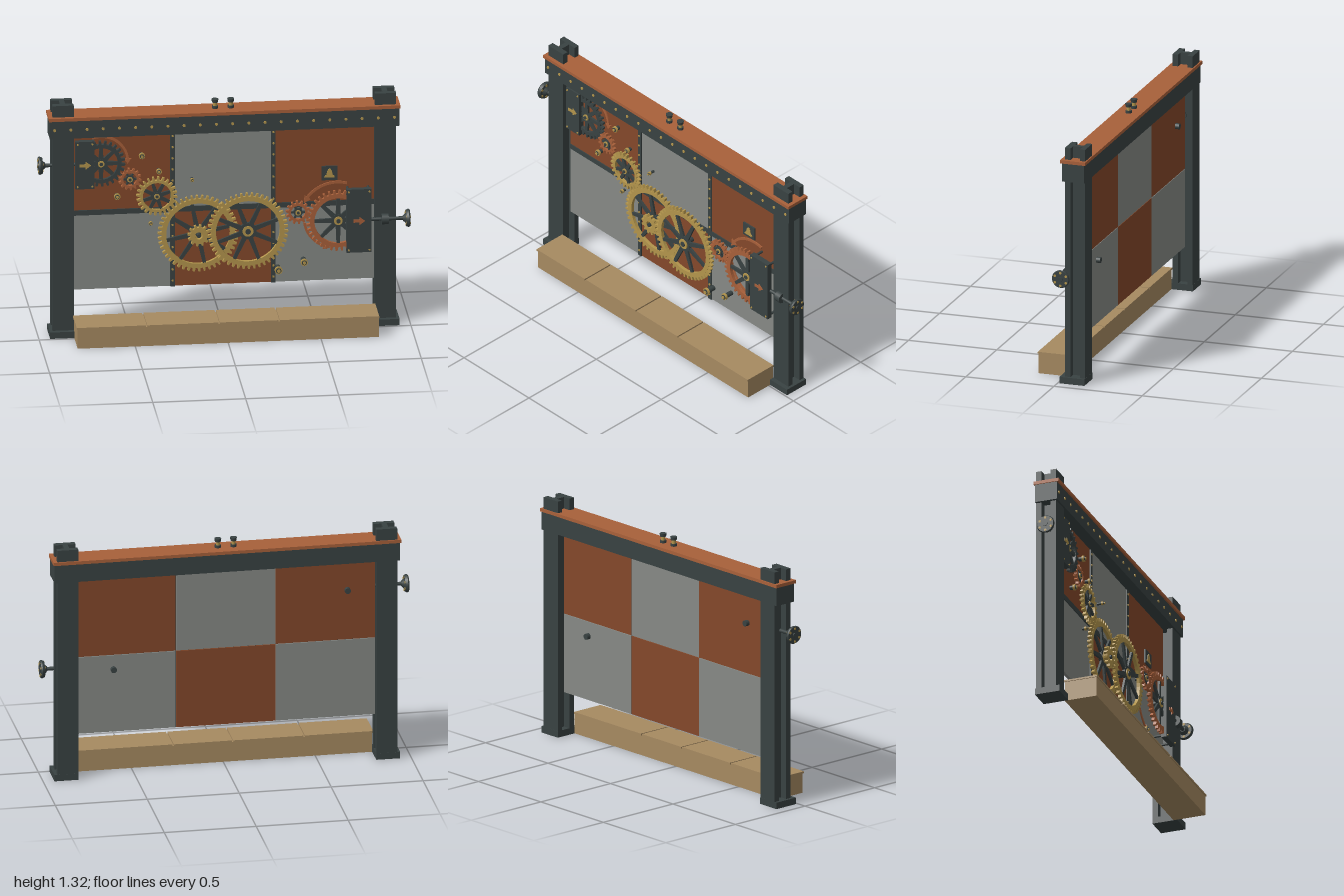
import * as THREE from 'three';

const mat = (name, color) => {
  const m = new THREE.MeshStandardMaterial({ color });
  m.name = name;
  return m;
};

export function createModel() {
  const steel = mat('dark steel', 0x394242);
  const rust = mat('rust panel', 0x84482a);
  const grey = mat('grey panel', 0x868985);
  const copper = mat('copper', 0xa8603a);
  const brass = mat('brass', 0xb3954c);
  const wood = mat('wood', 0xa68a61);
  const root = new THREE.Group();

  const add = (name, geo, m, x = 0, y = 0, z = 0, parent = root) => {
    const mesh = new THREE.Mesh(geo, m);
    mesh.name = name;
    mesh.position.set(x, y, z);
    parent.add(mesh);
    return mesh;
  };
  // Box given by its limits on each axis
  const box = (name, m, [x0, x1], [y0, y1], [z0, z1], parent = root) =>
    add(name, new THREE.BoxGeometry(x1 - x0, y1 - y0, z1 - z0), m,
      (x0 + x1) / 2, (y0 + y1) / 2, (z0 + z1) / 2, parent);
  const group = (name, x = 0, y = 0, z = 0) => {
    const g = new THREE.Group();
    g.name = name;
    g.position.set(x, y, z);
    root.add(g);
    return g;
  };
  // Cylinder along z from z0 to z1
  const rod = (name, m, r, x, y, z0, z1, parent = root, n = 16) =>
    add(name, new THREE.CylinderGeometry(r, r, z1 - z0, n).rotateX(Math.PI / 2), m, x, y, (z0 + z1) / 2, parent);
  const plate = (shape, depth) =>
    new THREE.ExtrudeGeometry(shape, { depth, bevelEnabled: false, curveSegments: 24 });

  // I-beam posts with foot plates
  for (const s of [-1, 1]) {
    const post = group(s < 0 ? 'rightPost' : 'leftPost', s * 0.867);
    box('frontFlange', steel, [-0.057, 0.057], [0, 1.32], [-0.067, -0.035], post);
    box('backFlange', steel, [-0.057, 0.057], [0, 1.32], [-0.15, -0.12], post);
    box('web', steel, [-0.014, 0.014], [0, 1.32], [-0.12, -0.067], post);
    box('foot', steel, [-0.073, 0.057].map(v => v * s).sort((a, b) => a - b).map(v => -v).reverse(),
      [0, 0.036], [-0.151, -0.01], post);
  }

  // Top beam, copper cap, rivets
  box('topBeam', steel, [-0.94, 0.94], [1.135, 1.237], [-0.15, -0.025]);
  box('beamCap', copper, [-0.945, 0.945], [1.237, 1.255], [-0.157, -0.015]);
  for (let i = 0; i < 22; i++)
    rod('beamRivet', brass, 0.008, -0.914 + i * 0.08705, 1.185, -0.026, -0.02, root, 8);

  // Two spools on the cap
  for (const x of [-0.045, 0.04]) {
    const spool = group('spool', x, 1.255, -0.086);
    add('spoolBase', new THREE.CylinderGeometry(0.017, 0.017, 0.014, 16), steel, 0, 0.007, 0, spool);
    add('spoolWaist', new THREE.CylinderGeometry(0.011, 0.011, 0.026, 16), brass, 0, 0.025, 0, spool);
    add('spoolTop', new THREE.CylinderGeometry(0.019, 0.016, 0.018, 16), steel, 0, 0.043, 0, spool);
  }

  // Chequered wall panels
  const xs = [-0.812, -0.271, 0.271, 0.812], ys = [0.245, 0.685, 1.135];
  for (let c = 0; c < 3; c++) for (let r = 0; r < 2; r++)
    box('wallPanel', (c + r) % 2 ? rust : grey, [xs[c] + 0.0015, xs[c + 1] - 0.0015],
      [ys[r] + 0.0015, ys[r + 1] - 0.0015], [-0.107, -0.09]);
  // Seam strips with rivets
  box('crossSeam', steel, [-0.81, 0.81], [0.67, 0.699], [-0.1, -0.085]);
  for (const x of [-0.273, 0.269]) {
    box('uprightSeam', steel, [x - 0.012, x + 0.012], [0.245, 1.13], [-0.1, -0.083]);
    for (let i = 0; i < 14; i++)
      rod('seamRivet', brass, 0.006, x, 0.28 + i * 0.0635, -0.084, -0.079, root, 8);
  }

  // Bench with a lid of four boards
  box('benchBody', wood, [-0.81, 0.81], [0, 0.11], [-0.03, 0.153]);
  const cuts = [-0.815, -0.44, -0.05, 0.273, 0.812];
  for (let i = 0; i < 4; i++)
    box('benchBoard', wood, [cuts[i] + (i ? 0.004 : 0), cuts[i + 1] - (i < 3 ? 0.004 : 0)], [0.11, 0.12], [-0.033, 0.158]);

  // Toothed ring between an inner radius and the tooth tips
  const toothedRing = (tip, inner, teeth, depth) => {
    const shape = new THREE.Shape();
    const foot = tip - Math.min(0.02, tip * 0.22), step = Math.PI * 2 / teeth;
    for (let i = 0; i < teeth; i++)
      [[0, foot], [0.4, foot], [0.53, tip], [0.87, tip]].forEach(([f, r], k) => {
        const a = (i + f) * step;
        shape[i + k ? 'lineTo' : 'moveTo'](r * Math.cos(a), r * Math.sin(a));
      });
    shape.closePath();
    shape.holes.push(new THREE.Path().absarc(0, 0, inner, 0, Math.PI * 2, true));
    return plate(shape, depth);
  };
  // Gear wheel: toothed rim, tapered spokes, hub and axle
  const gear = (name, m, x, y, z, tip, inner, teeth, spokes, turn = 0) => {
    const g = group(name, x, y, z);
    add('rim', toothedRing(tip, inner, teeth, 0.018), m, 0, 0, -0.009, g);
    const w = tip > 0.15 ? 0.011 : tip * 0.085, hub = Math.max(0.019, tip * 0.17);
    const spoke = new THREE.Shape([[0, -w * 1.3], [inner + 0.004, -w * 0.8], [inner + 0.004, w * 0.8], [0, w * 1.3]]
      .map(p => new THREE.Vector2(...p)));
    for (let i = 0; i < spokes; i++)
      add('spoke', plate(spoke, 0.012), steel, 0, 0, -0.006, g).rotation.z = turn + i * Math.PI * 2 / spokes;
    rod('hubDisc', steel, hub * 1.25, 0, 0, -0.008, 0.008, g, 24);
    rod('hub', brass, hub * 0.8, 0, 0, -0.01, 0.013, g, 24);
    rod('axle', steel, hub * 0.4, 0, 0, -0.092 - z, 0.018, g);
    return g;
  };
  const back = -0.068, front = -0.035;
  gear('darkDriveGear', steel, -0.66, 0.97, back, 0.13, 0.09, 26, 8);
  gear('copperIdlerLeft', copper, -0.505, 0.875, back, 0.062, 0.036, 14, 6);
  gear('brassGearSmall', brass, -0.36, 0.772, back, 0.11, 0.076, 24, 8, 0.3);
  gear('brassGearLarge', brass, -0.138, 0.55, back, 0.217, 0.172, 46, 8, 0.2);
  gear('brassGearFront', brass, 0.126, 0.565, front, 0.217, 0.172, 46, 8, 0.35);
  gear('copperIdlerRight', copper, 0.396, 0.66, front, 0.066, 0.038, 14, 6);
  gear('copperDriveGear', copper, 0.612, 0.605, front, 0.172, 0.128, 36, 8);
  add('brassPinion', toothedRing(0.06, 0.02, 12, 0.02), brass, -0.138, 0.55, front - 0.01);
  rod('pinionAxle', steel, 0.011, -0.138, 0.55, back, -0.02);

  // Curved direction arrows on the wall
  const arcArrow = (x, y, r, a0, a1, m) => {
    const shape = new THREE.Shape();
    shape.absarc(0, 0, r + 0.007, a0, a1, a1 < a0);
    const d = Math.sign(a1 - a0) * 0.2;
    const at = (rad, a) => shape.lineTo(rad * Math.cos(a), rad * Math.sin(a));
    at(r + 0.02, a1); at(r, a1 + d); at(r - 0.02, a1); at(r - 0.007, a1);
    shape.absarc(0, 0, r - 0.007, a1, a0, a1 > a0);
    add('directionArrow', plate(shape, 0.006), m, x, y, -0.09);
  };
  arcArrow(-0.66, 0.97, 0.146, 1.9, 0.1, copper);
  arcArrow(0.612, 0.605, 0.198, 1.3, 2.5, copper);
  arcArrow(0.612, 0.605, 0.178, 3.3, 4.3, copper);

  // Gear housings with arrow plates and corner bolts
  const arrow = new THREE.Shape([[-0.03, -0.008], [0.003, -0.008], [0.003, -0.022], [0.032, 0],
    [0.003, 0.022], [0.003, 0.008], [-0.03, 0.008]].map(p => new THREE.Vector2(...p)));
  const housing = (name, [x0, x1], [y0, y1], zf, m) => {
    const g = group(name);
    box('case', steel, [x0, x1], [y0, y1], [zf - 0.03, zf], g);
    add('arrow', plate(arrow, 0.004), m, (x0 + x1) / 2, (y0 + y1) / 2, zf, g);
    for (const x of [x0 + 0.012, x1 - 0.012]) for (const y of [y0 + 0.014, y1 - 0.014]) {
      rod('standoff', steel, 0.007, x, y, -0.092, zf - 0.02, g, 8);
      rod('bolt', brass, 0.005, x, y, zf - 0.001, zf + 0.005, g, 8);
    }
  };
  housing('leftHousing', [-0.8, -0.697], [0.835, 1.105], -0.045, brass);
  housing('rightHousing', [0.655, 0.79], [0.425, 0.785], -0.011, copper);

  // Handwheels on cross shafts
  const handwheel = (name, s, y, z, from) => {
    const g = group(name, 0, y, z);
    const turned = (part, m, r0, r1, a, b) =>
      add(part, new THREE.CylinderGeometry(r1, r0, b - a, 24).rotateZ(-s * Math.PI / 2), m, s * (a + b) / 2, 0, 0, g);
    turned('shaft', steel, 0.01, 0.01, from, 0.975);
    turned('collar', steel, 0.03, 0.03, 0.845, 0.882);
    turned('dish', steel, 0.014, 0.032, 0.96, 0.98);
    turned('wheel', steel, 0.044, 0.05, 0.976, 0.99);
    turned('wheelRim', steel, 0.05, 0.046, 0.99, 0.997);
    turned('wheelHub', steel, 0.014, 0.012, 0.99, 1);
    for (let i = 0; i < 6; i++) {
      const a = i * Math.PI / 3 + Math.PI / 6;
      const b = turned('wheelStud', brass, 0.007, 0.007, 0.974, 0.999);
      b.position.y = 0.036 * Math.sin(a);
      b.position.z = 0.036 * Math.cos(a);
    }
  };
  handwheel('rightHandwheel', -1, 0.97, -0.07, 0.75);
  handwheel('leftHandwheel', 1, 0.603, -0.035, 0.75);

  // Pegs on the wall: dark stem with a brass collar
  for (const [x, y, r, z] of [[-0.44, 1.005, 0.017, -0.055], [-0.348, 0.912, 0.015, -0.055], [-0.573, 0.778, 0.017, -0.055],
    [-0.392, 0.615, 0.011, -0.06], [-0.17, 0.858, 0.01, -0.05], [0.43, 0.37, 0.019, -0.028], [0.292, 0.33, 0.021, -0.028]]) {
    rod('pegStem', steel, r * 0.7, x, y, -0.092, z);
    rod('pegCollar', brass, r, x, y, z - 0.016, z - 0.004);
    rod('pegTip', brass, r * 0.45, x, y, z, z + 0.005);
  }
  // Axle ends behind the wall
  for (const [x, y] of [[-0.66, 0.97], [0.612, 0.605]]) rod('axleEnd', steel, 0.016, x, y, -0.13, -0.1);

  // Small sign with a bell
  box('bellSign', steel, [0.528, 0.614], [0.818, 0.898], [-0.09, -0.082]);
  const bell = new THREE.Shape([[-0.027, -0.023], [0.027, -0.023], [0.027, -0.015], [0.017, -0.008], [0.012, 0.016],
    [-0.012, 0.016], [-0.017, -0.008], [-0.027, -0.015]].map(p => new THREE.Vector2(...p)));
  add('bell', plate(bell, 0.004), brass, 0.571, 0.857, -0.082);
  rod('bellTop', brass, 0.009, 0.571, 0.875, -0.082, -0.078);
  return root;
}
